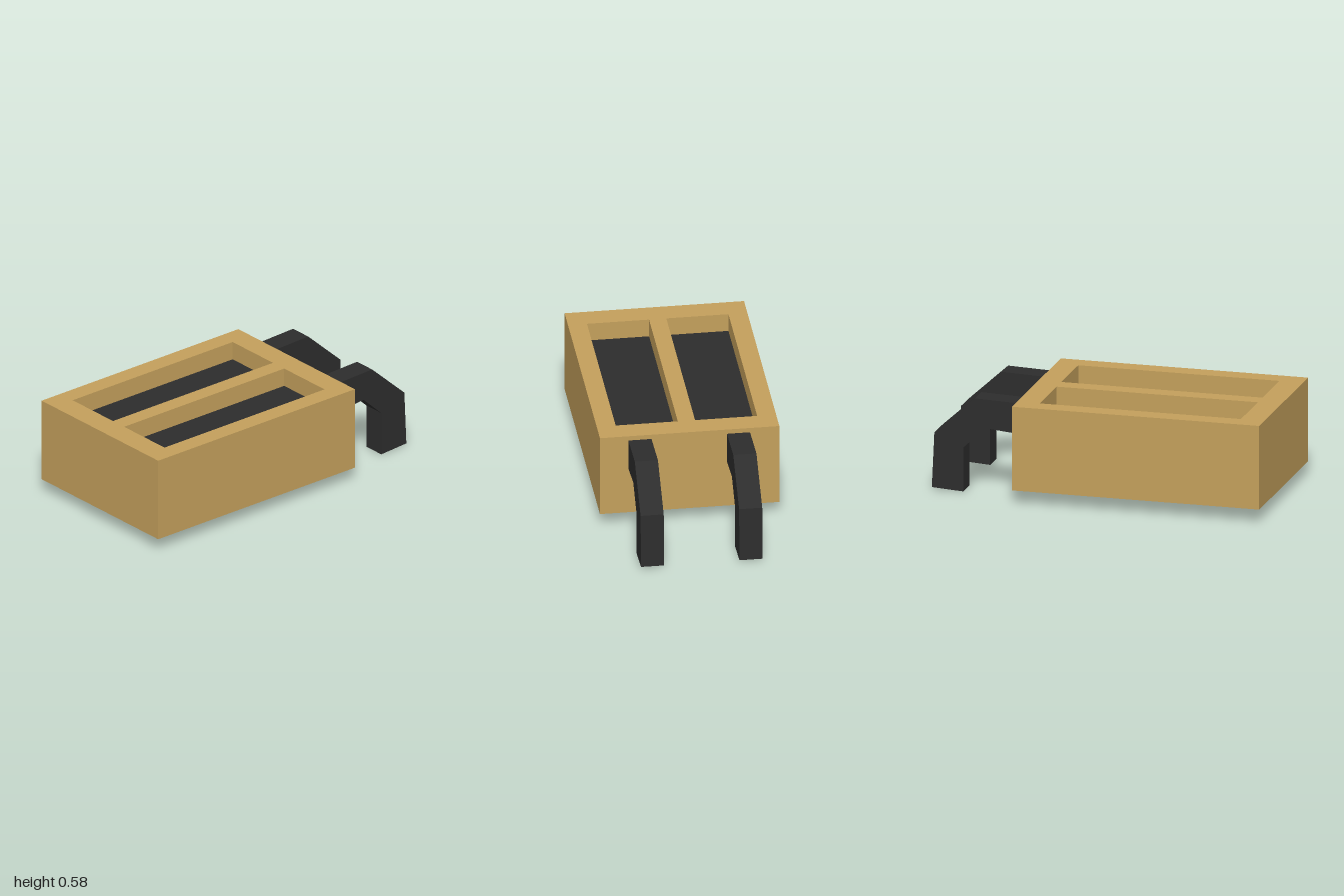
import * as THREE from 'three';

const TOP = 0.58, BOTTOM = 0.08, FLOOR = 0.47;
const FRONT = 1, BACK = -0.475, HALF_WIDTH = 0.52;
const SLOT = { width: 0.36, x: 0.23, front: 0.86, back: -0.34 };

const wood = new THREE.MeshStandardMaterial({ color: 0xc4a05c, side: THREE.DoubleSide });
const dark = new THREE.MeshStandardMaterial({ color: 0x2d2d2d, side: THREE.DoubleSide });

function add(parent, name, geometry, material) {
  const mesh = new THREE.Mesh(geometry, material);
  mesh.name = name;
  parent.add(mesh);
  return mesh;
}

// Four upright thin walls: a box without its top and bottom faces
function wallRing(x, width, back, front, bottom, top) {
  const g = new THREE.BoxGeometry(width, top - bottom, front - back);
  const index = Array.from(g.index.array);
  index.splice(12, 12);
  g.setIndex(index);
  g.clearGroups();
  return g.translate(x, (top + bottom) / 2, (front + back) / 2);
}

// Rectangle outline in x and -z, for flat plates
function rectangle(PathType, x, width, back, front) {
  const a = x - width / 2, b = x + width / 2;
  return new PathType([[a, -front], [b, -front], [b, -back], [a, -back]]
    .map(([px, py]) => new THREE.Vector2(px, py)));
}

function plate(shape, y) {
  return new THREE.ShapeGeometry(shape).rotateX(-Math.PI / 2).translate(0, y, 0);
}

// Bent arm with a square section, outlined from the side (distance behind centre, height)
function armGeometry(x, width) {
  const outline = [
    [0.47, 0.368], [0.68, 0.388], [0.812, 0.263], [0.812, 0],
    [1, 0.012], [0.985, 0.34], [0.743, 0.562], [0.47, 0.552],
  ].map(([px, py]) => new THREE.Vector2(px, py));
  return new THREE.ExtrudeGeometry(new THREE.Shape(outline), { depth: width, bevelEnabled: false })
    .rotateY(Math.PI / 2)
    .translate(x - width / 2, 0, 0);
}

export function createModel() {
  const model = new THREE.Group();
  model.name = 'slottedBoxWithArms';

  // Thin-walled case, open underneath
  add(model, 'caseWalls', wallRing(0, HALF_WIDTH * 2, BACK, FRONT, BOTTOM, TOP), wood);

  // Top plate with two long slots
  const topShape = rectangle(THREE.Shape, 0, HALF_WIDTH * 2, BACK, FRONT);
  for (const side of [-1, 1]) {
    topShape.holes.push(rectangle(THREE.Path, side * SLOT.x, SLOT.width, SLOT.back, SLOT.front));
  }
  add(model, 'topPlate', plate(topShape, TOP), wood);

  // Sunken trays and curved arms, one per side
  for (const [label, side, armX] of [['right', -1, -0.283], ['left', 1, 0.288]]) {
    const x = side * SLOT.x;
    add(model, label + 'TrayWalls', wallRing(x, SLOT.width, SLOT.back, SLOT.front, FLOOR, TOP), wood);
    add(model, label + 'TrayFloor',
      plate(rectangle(THREE.Shape, x, SLOT.width, SLOT.back, SLOT.front), FLOOR), dark);
    add(model, label + 'Arm', armGeometry(armX, 0.134), dark);
  }
  return model;
}
